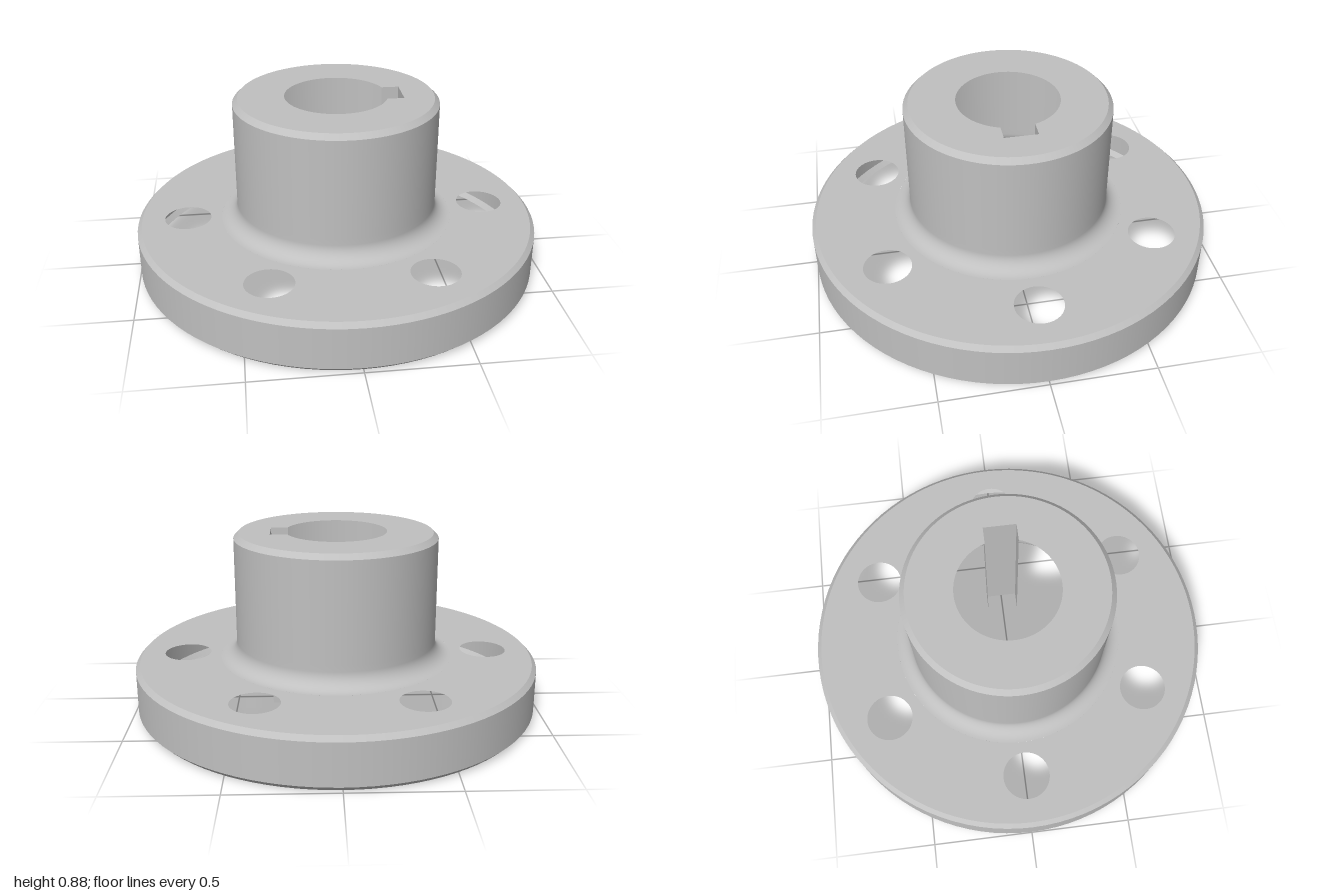
import * as THREE from 'three';

const SEGMENTS = 96;
const FLANGE_TOP = 0.25, HUB_TOP = 0.875;
const HUB_R = 0.5, FILLET = 0.08;
const BORE_R = 0.25, KEY_HALF = 0.08, KEY_X = 0.32;

export function createModel() {
  const group = new THREE.Group();
  const steel = new THREE.MeshStandardMaterial({ color: 0xc0c0c0, side: THREE.DoubleSide });
  steel.name = 'greySteel';

  const add = (name, geometry) => {
    const mesh = new THREE.Mesh(geometry, steel);
    mesh.name = name;
    group.add(mesh);
    return mesh;
  };

  // Turned band from [radius, height] pairs, listed bottom to top
  const band = (name, profile) =>
    add(name, new THREE.LatheGeometry(profile.map(([r, y]) => new THREE.Vector2(r, y)), SEGMENTS));

  // Flat horizontal face at height y
  const face = (name, shape, y) => {
    const geometry = new THREE.ShapeGeometry(shape, SEGMENTS);
    geometry.rotateX(-Math.PI / 2);
    geometry.translate(0, y, 0);
    return add(name, geometry);
  };

  const disc = (Type, x, y, r) => new Type().absarc(x, y, r, 0, Math.PI * 2, false);

  // Flange rim with chamfered edges
  band('flangeBottomChamfer', [[0.975, 0], [1, 0.025]]);
  band('flangeRim', [[1, 0.025], [1, 0.228]]);
  band('flangeTopChamfer', [[1, 0.228], [0.978, FLANGE_TOP]]);

  // Flange face with six bolt holes around the hub
  const plate = disc(THREE.Shape, 0, 0, 0.978);
  plate.holes.push(disc(THREE.Path, 0, 0, HUB_R + FILLET));
  for (let i = 0; i < 6; i++) {
    const a = (i * Math.PI) / 3;
    plate.holes.push(disc(THREE.Path, 0.75 * Math.cos(a), 0.75 * Math.sin(a), 0.115));
  }
  face('flangeFace', plate, FLANGE_TOP);

  // Hub wall flowing out of a rounded fillet
  const hub = [];
  for (let i = 0; i <= 12; i++) {
    const a = (i / 12) * Math.PI / 2;
    hub.push([HUB_R + FILLET * (1 - Math.sin(a)), FLANGE_TOP + FILLET * (1 - Math.cos(a))]);
  }
  hub.push([HUB_R, 0.36], [HUB_R, 0.85]);
  band('hubWall', hub);
  band('hubChamfer', [[HUB_R, 0.85], [0.475, HUB_TOP]]);

  // Hub end face, with the bore and its keyway cut out
  const keyAngle = Math.asin(KEY_HALF / BORE_R);
  const mouthX = BORE_R * Math.cos(keyAngle);
  const bore = new THREE.Path();
  bore.absarc(0, 0, BORE_R, keyAngle, Math.PI * 2 - keyAngle, false);
  bore.lineTo(KEY_X, -KEY_HALF);
  bore.lineTo(KEY_X, KEY_HALF);
  bore.closePath();
  const end = disc(THREE.Shape, 0, 0, 0.475);
  end.holes.push(bore);
  face('hubEndFace', end, HUB_TOP);

  // Keyway walls running the full height, facing into the slot
  const back = add('keywayBack', new THREE.PlaneGeometry(KEY_HALF * 2, HUB_TOP));
  back.position.set(KEY_X, HUB_TOP / 2, 0);
  back.rotation.y = -Math.PI / 2;
  for (const s of [-1, 1]) {
    const side = add(s > 0 ? 'keywayFrontSide' : 'keywayRearSide',
      new THREE.PlaneGeometry(KEY_X - mouthX, HUB_TOP));
    side.position.set((KEY_X + mouthX) / 2, HUB_TOP / 2, s * KEY_HALF);
    side.rotation.y = s > 0 ? Math.PI : 0;
  }

  return group;
}
